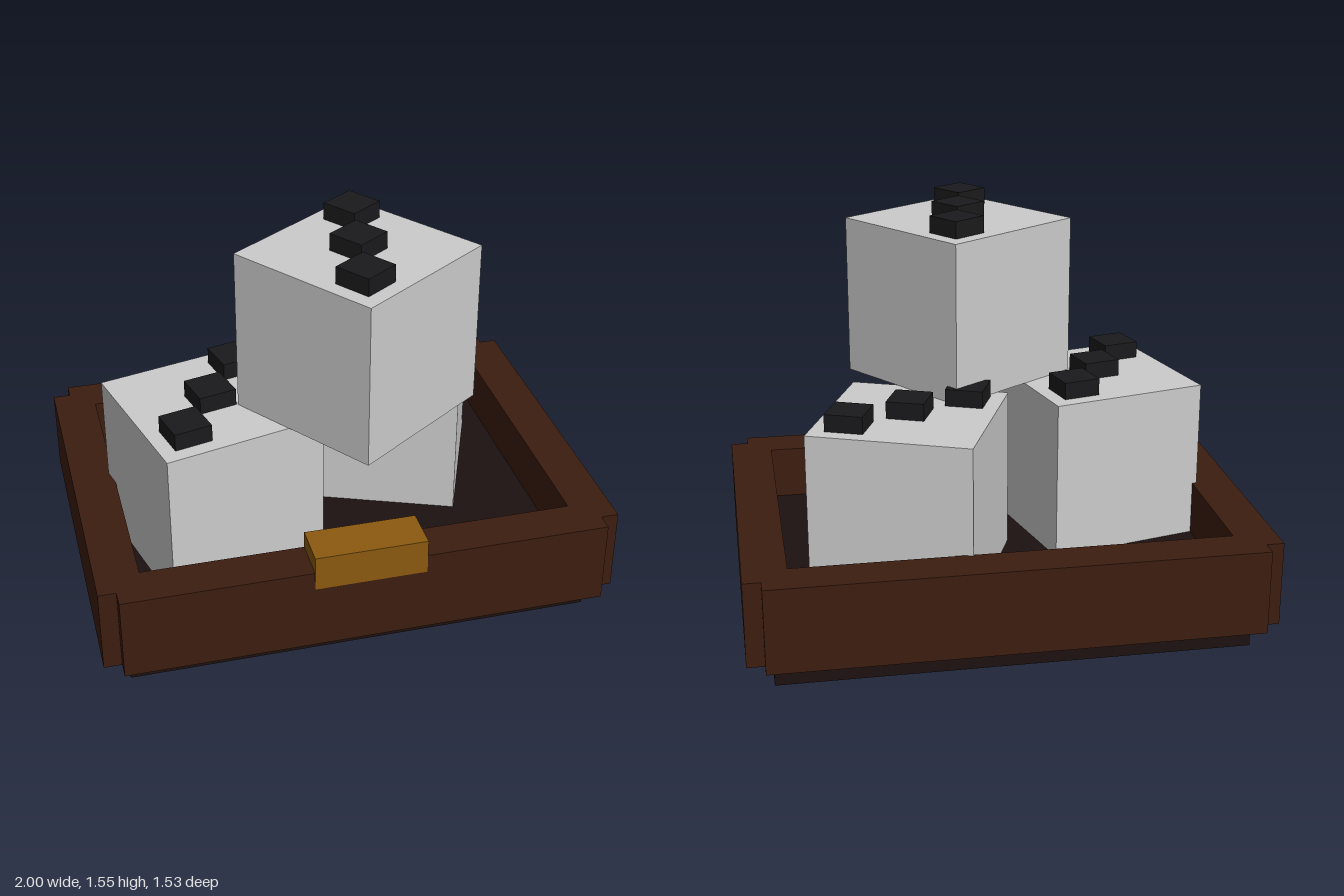
import * as THREE from 'three';

const mat = (color) => new THREE.MeshStandardMaterial({ color });

export function createModel() {
  const model = new THREE.Group();
  const wood = mat(0x3d1d10), dark = mat(0x1c1110), brass = mat(0x8b5a10);
  const grey = mat(0xcccccc), black = mat(0x1a1a1c);

  // Box given by size and centre in x/z, with its bottom at y
  const box = (parent, name, material, [w, h, d], [x, y, z]) => {
    const mesh = new THREE.Mesh(new THREE.BoxGeometry(w, h, d), material);
    mesh.name = name;
    mesh.position.set(x, y + h / 2, z);
    parent.add(mesh);
    return mesh;
  };

  // Tray: dark floor inside four rails; the corners stay notched
  const tray = new THREE.Group();
  tray.name = 'tray';
  model.add(tray);
  box(tray, 'trayFloor', dark, [1.8, 0.22, 1.33], [0, 0, 0]);
  for (const s of [1, -1]) {
    box(tray, s > 0 ? 'frontRail' : 'backRail', wood, [1.864, 0.333, 0.166], [0, 0.1, s * 0.683]);
    box(tray, s > 0 ? 'leftRail' : 'rightRail', wood, [0.166, 0.333, 1.4], [s * 0.917, 0.1, 0]);
  }
  box(tray, 'brassPlate', brass, [0.43, 0.14, 0.168], [0, 0.36, 0.684]);

  // Cubes, each with three square pegs along the diagonal of its top
  const size = 0.632;
  const cubes = [
    ['rightCube', -0.47, 0.22, 0.163, 0.242],
    ['leftCube', 0.332, 0.22, -0.2, -0.385],
    ['topCube', 0.065, 0.853, 0.298, 0.61],
  ];
  for (const [name, x, y, z, turn] of cubes) {
    const cube = new THREE.Group();
    cube.name = name;
    cube.position.set(x, y, z);
    cube.rotation.y = turn;
    box(cube, 'cubeBody', grey, [size, size, size], [0, 0, 0]);
    for (const i of [-1, 0, 1]) {
      box(cube, 'peg', black, [0.147, 0.067, 0.147], [i * 0.184, size, -i * 0.184]);
    }
    model.add(cube);
  }
  return model;
}
